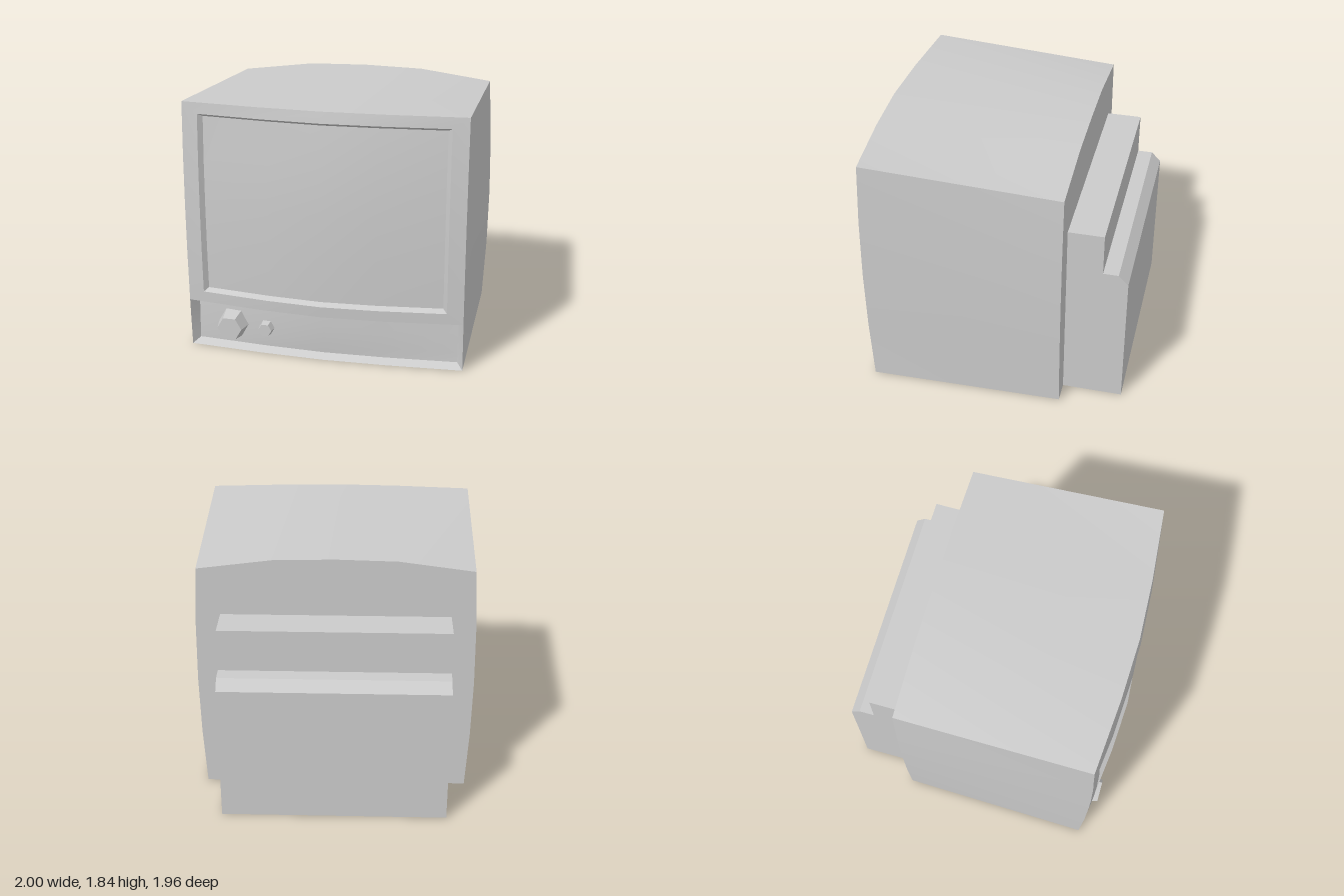
import * as THREE from 'three';
import { mergeGeometries, toCreasedNormals } from 'three/addons/utils/BufferGeometryUtils.js';

const HEIGHT = 1.84, BACK = -0.545;
const material = new THREE.MeshStandardMaterial({ color: 0xcccccc });

// Bulged front surface: depth at a given x, y
function frontZ(x, y) {
  const a = Math.abs(x), v = Math.abs((y - 0.95) / 0.9);
  const bulge = a < 0.45 ? 1 - 0.28 * a / 0.45 : 0.72 * (1 - a) / 0.55;
  const edge = 0.89 - 0.027 * v * v;
  const centre = 0.99 - 0.065 * v ** 3;
  return edge + (centre - edge) * bulge;
}
const screenZ = (x, y) => frontZ(x, y) - 0.035;
const panelZ = (x, y) => frontZ(x, y) - 0.055 - 0.1 * y;

// Smooth grid through rows of points
function patch(rows) {
  const n = rows[0].length, index = [];
  for (let i = 0; i < rows.length - 1; i++) {
    for (let j = 0; j < n - 1; j++) {
      const a = i * n + j, b = a + n;
      index.push(a, a + 1, b + 1, a, b + 1, b);
    }
  }
  const geometry = new THREE.BufferGeometry();
  geometry.setAttribute('position', new THREE.Float32BufferAttribute(rows.flat(2), 3));
  geometry.setIndex(index);
  return geometry;
}

const columns = [-1, -0.45, 0, 0.45, 1];
const steps = [0, 0.25, 0.5, 0.75, 1];

// Four sides of a rectangle laid on a surface, counterclockwise from the bottom
function sides(hx, y0, y1, z) {
  const at = (x, y) => [x, y, z(x, y)];
  const up = steps.map((t) => y0 + (y1 - y0) * t);
  return [
    columns.map((c) => at(c * hx, y0)),
    up.map((y) => at(hx, y)),
    columns.map((c) => at(-c * hx, y1)),
    up.map((y) => at(-hx, y)).reverse(),
  ];
}
const ring = (outer, inner) => outer.map((side, i) => patch([side, inner[i]]));

// Filled rectangle on a surface
const sheet = (hx, y0, y1, z) => patch(steps.map((t) => {
  const y = y0 + (y1 - y0) * t;
  return columns.map((c) => [c * hx, y, z(c * hx, y)]);
}));

function mesh(name, geometry) {
  const m = new THREE.Mesh(geometry, material);
  m.name = name;
  return m;
}
const joined = (name, parts) => {
  const flat = parts.map((p) => {
    const g = p.index ? p.toNonIndexed() : p;
    g.deleteAttribute('uv');
    g.deleteAttribute('normal');
    return g;
  });
  return mesh(name, toCreasedNormals(mergeGeometries(flat), 0.4));
};

// Six-sided tapered knob
function knob(name, x, radius, front) {
  const geometry = new THREE.CylinderGeometry(radius * 0.74, radius, front - 0.8, 6)
    .rotateY(Math.PI / 6).rotateX(Math.PI / 2).toNonIndexed();
  geometry.computeVertexNormals();
  const m = mesh(name, geometry);
  m.position.set(x, 0.187, (front + 0.8) / 2);
  return m;
}

export function createModel() {
  const group = new THREE.Group();

  // Cabinet walls run from the bulged front to a back with a crowned top and bowed sides
  const frontLoop = sides(1, 0, HEIGHT, frontZ);
  const backLoop = frontLoop.map((side) => side.map(([x, y]) => [
    x * (1 - 0.03 * ((y - 0.92) / 0.92) ** 2),
    y * (1 - 0.08 * Math.abs(x) ** 2.6 / HEIGHT),
    BACK,
  ]));
  const outline = backLoop.flatMap((s) => s.slice(0, -1)).map(([x, y]) => new THREE.Vector2(x, y));
  const backWall = new THREE.ShapeGeometry(new THREE.Shape(outline))
    .rotateY(Math.PI).translate(0, 0, BACK);
  group.add(joined('cabinet', [...ring(backLoop, frontLoop), backWall]));

  // Screen surround with its recessed edge
  const opening = sides(0.885, 0.44, 1.76, frontZ);
  const screenEdge = sides(0.855, 0.465, 1.74, screenZ);
  group.add(joined('screenFrame', ring(sides(1, 0.36, HEIGHT, frontZ), opening)));
  group.add(joined('screenReveal', ring(opening, screenEdge)));
  group.add(joined('screen', [sheet(0.855, 0.465, 1.74, screenZ)]));

  // Sunken control panel
  group.add(joined('controlPanel', [
    ...ring(sides(1, 0, 0.36, frontZ), sides(0.955, 0.035, 0.325, panelZ)),
    sheet(0.955, 0.035, 0.325, panelZ),
  ]));
  group.add(knob('largeKnob', -0.685, 0.122, 0.945));
  group.add(knob('smallKnob', -0.427, 0.066, 0.915));

  // Stepped rear housing, a side profile extruded across the width
  const profile = [[BACK, 0], [BACK, 1.41], [-0.8, 1.41], [-0.8, 1.1], [-0.91, 1.1], [-0.98, 1.03], [-0.98, 0]];
  const housing = new THREE.ExtrudeGeometry(
    new THREE.Shape(profile.map(([z, y]) => new THREE.Vector2(z, y))),
    { depth: 1.63, bevelEnabled: false },
  ).rotateY(-Math.PI / 2).translate(0.815, 0, 0);
  group.add(mesh('rearHousing', housing));

  return group;
}
